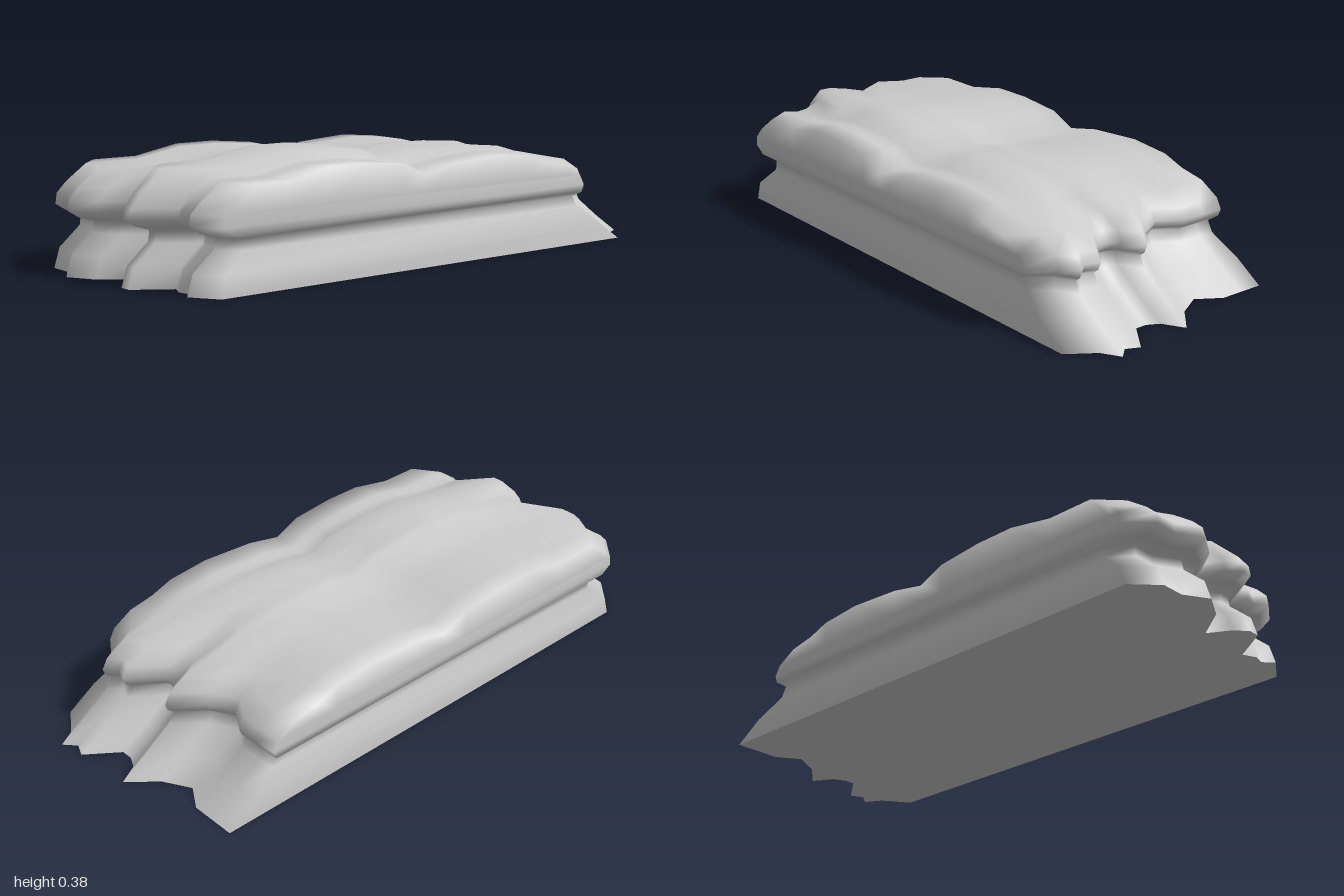
import * as THREE from 'three';

// Columns across the slab: x, front edge z, back edge z, lift of the top
const columns = [
  [-0.41, 0.87, -0.88, 0], [-0.33, 0.945, -0.88, 0], [-0.25, 0.945, -0.88, 0],
  [-0.17, 0.99, -0.83, 0], [-0.08, 0.94, -0.88, 0], [0, 0.84, -0.97, 0.028],
  [0.04, 0.91, -0.90, 0.028], [0.08, 0.945, -0.88, 0.028], [0.12, 0.945, -0.88, 0.028],
  [0.2, 0.83, -0.985, 0.028], [0.245, 0.85, -0.965, 0], [0.285, 0.84, -1.0, 0],
  [0.32, 0.87, -0.94, 0], [0.41, 0.81, -0.88, 0],
];
// Wall levels: y, inset of the front, inset of the back, half width at the ends
const levels = [
  [0, 0, 0, 0.41], [0.065, 0.02, 0.10, 0.41], [0.13, 0.095, 0.19, 0.385],
  [0.165, 0.10, 0.21, 0.385], [0.18, 0.05, 0.19, 0.41], [0.205, 0.01, 0.18, 0.41],
  [0.24, 0.015, 0.20, 0.41],
];
// Humps along the top: z, y, share of the lift
const humps = [
  [0.62, 0.325, 1], [0.45, 0.355, 1], [0.3, 0.355, 1], [0.13, 0.34, 1], [0.03, 0.299, 1],
  [-0.1, 0.325, 1], [-0.3, 0.338, 0.4], [-0.45, 0.325, 0.4],
];

// One section, from the front foot over the top to the back foot
function section([x, front, back, lift]) {
  const wall = (sign) => levels.map(([y, f, b, half]) => [
    Math.abs(x) > 0.4 ? Math.sign(x) * half : x, y, sign > 0 ? front - f : back + b]);
  const top = humps.map(([z, y, share]) => [x, y + lift * share,
    z + (z > 0 ? (front - 0.92) * z : (back + 0.9) * -z)]);
  return [
    ...wall(1),
    [x, 0.275 + lift * 0.4, front - 0.05], [x, 0.325 + lift, front - 0.12],
    ...top,
    [x, 0.297, back + 0.36], [x, 0.28, back + 0.27],
    ...wall(-1).reverse(),
  ];
}

function slabGeometry() {
  const sections = columns.map(section);
  const n = sections[0].length, last = columns.length - 1;
  const points = sections.flat();
  const faces = [];
  const quad = (a, b, c, d, flip) => faces.push(...(flip ? [a, c, b, a, d, c] : [a, b, c, a, c, d]));

  // Front, top and back
  for (let i = 0; i < last; i++) {
    for (let j = 0; j < n - 1; j++) {
      const a = i * n + j;
      quad(a, a + n, a + n + 1, a + 1);
    }
  }

  // Grooved sides, then the part under the humps
  for (const i of [0, last]) {
    const o = i * n, flip = i === 0, rim = levels.length - 1;
    for (let l = 0; l < rim; l++) {
      quad(o + l, o + n - 1 - l, o + n - 2 - l, o + l + 1, flip);
    }
    let below = o + rim;
    for (let j = rim; j < n - 1 - rim; j++) {
      let next = o + n - 1 - rim;
      if (j + 1 < n - 1 - rim) {
        const p = points[o + j + 1];
        next = points.push([p[0], levels[rim][0], p[2]]) - 1;
      }
      quad(below, next, o + j + 1, o + j, flip);
      below = next;
    }
  }

  // Flat underside with its own corners
  const foot = points.length;
  sections.forEach((s) => points.push([...s[0]], [...s[n - 1]]));
  for (let i = 0; i < last; i++) {
    const a = foot + i * 2;
    quad(a, a + 1, a + 3, a + 2);
  }

  const geometry = new THREE.BufferGeometry();
  geometry.setAttribute('position', new THREE.Float32BufferAttribute(points.flat(), 3));
  geometry.setIndex(faces);
  geometry.computeVertexNormals();
  return geometry;
}

export function createModel() {
  const group = new THREE.Group();
  group.name = 'rockLedge';
  const slab = new THREE.Mesh(slabGeometry(), new THREE.MeshStandardMaterial({ color: 0xcccccc }));
  slab.name = 'rockSlab';
  group.add(slab);
  return group;
}
